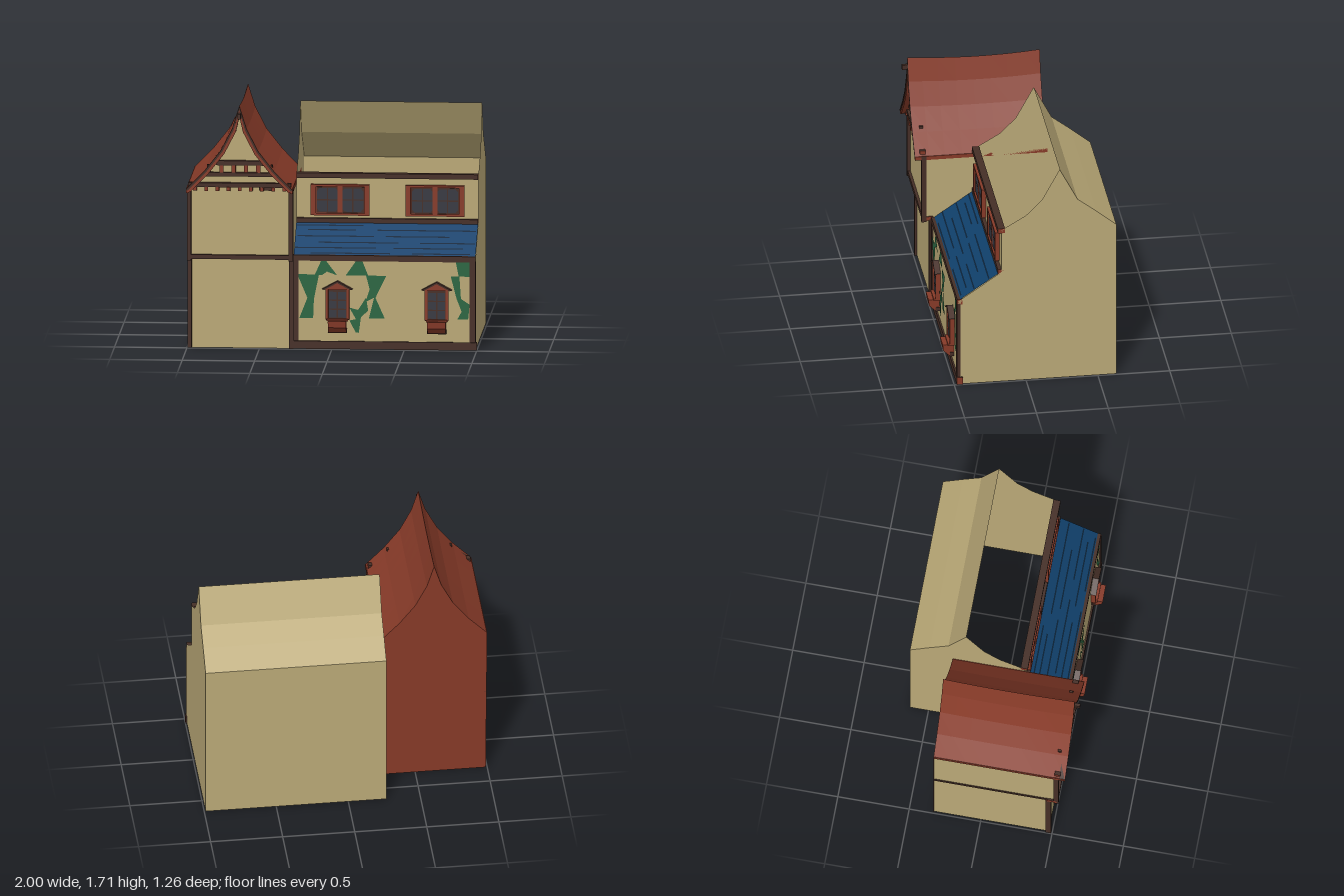
import * as THREE from 'three';

const mat = (name, color) => {
  const m = new THREE.MeshStandardMaterial({ color, side: THREE.DoubleSide, flatShading: true });
  m.name = name;
  return m;
};

export function createModel() {
  const plaster = mat('plaster', 0xb9a876), tile = mat('redTile', 0x863a28), timber = mat('darkTimber', 0x452e26);
  const blue = mat('blueRoof', 0x10406b), blueDark = mat('blueGap', 0x0a2238);
  const glass = mat('glass', 0x363840), ivy = mat('ivy', 0x2a6540);
  const model = new THREE.Group();

  const add = (name, geo, m, parent = model) => {
    const mesh = new THREE.Mesh(geo, m);
    mesh.name = name;
    parent.add(mesh);
    return mesh;
  };
  const box = (name, m, x0, x1, y0, y1, z0, z1, parent) => {
    const g = new THREE.BoxGeometry(x1 - x0, y1 - y0, z1 - z0);
    g.translate((x0 + x1) / 2, (y0 + y1) / 2, (z0 + z1) / 2);
    return add(name, g, m, parent);
  };
  // Timbers show redder cut ends
  const beam = (name, ...r) => box(name, [tile, tile, timber, timber, timber, timber], ...r);
  const post = (name, ...r) => box(name, [timber, timber, tile, tile, timber, timber], ...r);
  const shape = pts => new THREE.Shape(pts.map(p => new THREE.Vector2(p[0], p[1])));
  const flat = (name, m, pts, z, parent) => add(name, new THREE.ShapeGeometry(shape(pts)).translate(0, 0, z), m, parent);
  const slab = (name, m, pts, z0, z1, parent) =>
    add(name, new THREE.ExtrudeGeometry(shape(pts), { depth: z1 - z0, bevelEnabled: false }).translate(0, 0, z0), m, parent);
  // Wall in the z-y plane at a given x
  const sideWall = (name, m, pts, x) =>
    add(name, new THREE.ShapeGeometry(shape(pts)).rotateY(-Math.PI / 2).translate(x, 0, 0), m);
  // Skin over rows of points
  const loft = (name, m, rows) => {
    const n = rows[0].length, index = [];
    for (let i = 0; i < rows.length - 1; i++)
      for (let j = 0; j < n - 1; j++) {
        const a = i * n + j, b = a + n;
        index.push(a, b, a + 1, b, b + 1, a + 1);
      }
    let g = new THREE.BufferGeometry();
    g.setAttribute('position', new THREE.Float32BufferAttribute(rows.flat(2), 3));
    g.setIndex(index);
    g = g.toNonIndexed();
    g.computeVertexNormals();
    return add(name, g, m);
  };
  // Strip running along x through z-y points
  const strip = (name, m, pts, x0, x1) =>
    loft(name, m, [x0, x1].map(x => pts.map(([z, y]) => [x, y, z])));

  // Main house shell, with its front roof slope open
  const L = -0.265, R = 0.99;
  const backRoof = [[-0.235, 1.61], [-0.36, 1.37], [-0.49, 1.27], [-0.63, 1.155]];
  const gable = [[0.47, 0], [0.47, 0.64], [0.17, 0.845], [0.17, 1.17], [0, 1.27], [-0.11, 1.38], ...backRoof, [-0.63, 0]];
  sideWall('leftHouseGable', plaster, gable, L);
  sideWall('rightHouseGable', plaster, gable, R);
  strip('houseBackRoof', plaster, backRoof, L, R);
  strip('houseBackWall', plaster, [[-0.63, 1.155], [-0.63, 0]], L, R);
  strip('lowerFrontWall', plaster, [[0.47, 0], [0.47, 0.64]], L, R);
  strip('upperFrontWall', plaster, [[0.17, 0.845], [0.17, 1.17]], L, R);

  // Blue lean-to roof with gaps between the courses
  strip('leanToRoof', blue, [[0.47, 0.645], [0.17, 0.85]], L, R);
  const gaps = [[0.66, -0.15, 0.4], [0.66, 0.55, 0.95], [0.69, -0.26, 0.3], [0.69, 0.42, 0.9], [0.72, -0.1, 0.45],
    [0.72, 0.6, 0.98], [0.755, -0.25, 0.28], [0.755, 0.36, 0.8], [0.79, -0.18, 0.15], [0.79, 0.3, 0.98], [0.815, -0.26, 0.2]];
  for (const [y, x0, x1] of gaps) {
    const z = 0.47 - (y - 0.645) * 0.3 / 0.205 + 0.003;
    strip('roofGap', blueDark, [[z, y + 0.002], [z - 0.009, y + 0.008]], x0, x1);
  }

  // House timbers
  beam('topBeam', L, R, 1.145, 1.18, 0.145, 0.195);
  beam('middleBeam', L, R, 0.825, 0.865, 0.145, 0.195);
  beam('lowerBeam', L, R, 0.615, 0.655, 0.44, 0.478);
  beam('groundBeam', L, 1, 0, 0.055, 0.44, 0.482);
  post('leftHousePost', L, -0.23, 0.05, 0.62, 0.455, 0.48);
  post('rightHousePost', 0.948, 0.992, 0.05, 0.62, 0.455, 0.48);

  // Upper windows: two sashes of four panes with cut outer corners
  for (const cx of [0.0375, 0.6925]) {
    const w = new THREE.Group();
    w.name = 'upperWindow';
    w.position.set(cx, 0.9925, 0);
    model.add(w);
    box('windowFrame', tile, -0.2025, 0.2025, -0.1075, 0.1075, 0.165, 0.186, w);
    for (const y of [-0.1, 0.1]) box('frameRail', tile, -0.2025, 0.2025, y - 0.0075, y + 0.0075, 0.186, 0.2, w);
    for (const x of [-0.185, 0, 0.185]) box('frameStile', tile, x - 0.0175, x + 0.0175, -0.1, 0.1, 0.186, x ? 0.2 : 0.193, w);
    for (const sx of [-1, 1]) {
      const c = sx * 0.087;
      box('sashBacking', timber, c - 0.077, c + 0.077, -0.09, 0.09, 0.186, 0.188, w);
      for (const px of [-1, 1]) for (const py of [-1, 1]) {
        const pts = [[0.004, 0.004], [0.073, 0.004], [0.073, 0.06], [0.055, 0.082], [0.004, 0.082]];
        flat('pane', glass, pts.map(([x, y]) => [c + px * x, py * y]), 0.191, w);
      }
    }
  }

  // Lower windows with pediment and flower box
  for (const cx of [0.0385, 0.724]) {
    const w = new THREE.Group();
    w.name = 'lowerWindow';
    w.position.x = cx;
    model.add(w);
    box('windowFrame', tile, -0.08, 0.08, 0.205, 0.425, 0.465, 0.49, w);
    for (const s of [-0.0725, 0.0725]) box('frameStile', tile, s - 0.0095, s + 0.0095, 0.21, 0.42, 0.49, 0.502, w);
    box('paneBacking', timber, -0.063, 0.063, 0.215, 0.415, 0.488, 0.492, w);
    for (const s of [-1, 1]) for (let r = 0; r < 3; r++) {
      const y = 0.222 + r * 0.063, x = s * 0.032;
      flat('pane', glass, [[x - 0.027, y], [x + 0.027, y], [x + 0.027, y + 0.055], [x - 0.027, y + 0.055]], 0.495, w);
    }
    slab('pediment', tile, [[-0.09, 0.42], [0.09, 0.42], [0, 0.465]], 0.465, 0.505, w);
    for (const s of [-1, 1])
      slab('pedimentEdge', timber, [[s * 0.105, 0.422], [0, 0.479], [0, 0.466], [s * 0.09, 0.418]], 0.465, 0.512, w);
    box('sill', tile, -0.073, 0.073, 0.2, 0.215, 0.465, 0.515, w);
    const side = [[0.47, 0.205], [0.55, 0.205], [0.545, 0.16], [0.505, 0.12], [0.47, 0.12]];
    const g = new THREE.ExtrudeGeometry(shape(side), { depth: 0.126, bevelEnabled: false });
    add('flowerBox', g.rotateY(-Math.PI / 2).translate(0.063, 0, 0), tile, w);
    box('flowerBoxFoot', timber, -0.066, 0.066, 0.115, 0.145, 0.47, 0.5, w);
  }

  // Ivy leaves climbing the lower wall
  const leaves = [
    [[-0.24, 0.52], [-0.09, 0.52], [-0.125, 0.345], [-0.13, 0.215], [-0.225, 0.215], [-0.17, 0.355]],
    [[-0.12, 0.515], [-0.075, 0.615], [-0.04, 0.615], [0.035, 0.515], [-0.035, 0.54], [-0.07, 0.515]],
    [[0.095, 0.515], [0.165, 0.615], [0.21, 0.615], [0.25, 0.515]],
    [[0.235, 0.515], [0.375, 0.515], [0.3, 0.36], [0.365, 0.215], [0.255, 0.215], [0.29, 0.36], [0.23, 0.33], [0.26, 0.42]],
    [[0.12, 0.29], [0.18, 0.275], [0.235, 0.36], [0.25, 0.27], [0.2, 0.225], [0.185, 0.115], [0.165, 0.115], [0.12, 0.2], [0.165, 0.21]],
    [[0.855, 0.615], [0.95, 0.615], [0.95, 0.515], [0.875, 0.515]],
    [[0.82, 0.515], [0.88, 0.515], [0.89, 0.36], [0.95, 0.32], [0.94, 0.215], [0.865, 0.215], [0.895, 0.27], [0.86, 0.36]],
  ];
  for (const l of leaves) flat('ivyLeaf', ivy, l, 0.476);

  // Tower walls: the upper storey juts forward and the back is red
  const cx = -0.6325, TL = -0.985, TR = -0.272;
  const half = [[0.3675, 1.125], [0.24, 1.255], [0.13, 1.395], [0.05, 1.55], [0, 1.71]];
  const profile = [...half.map(([x, y]) => [cx - x, y]), ...half.slice(0, 4).reverse().map(([x, y]) => [cx + x, y])];
  const inner = profile.map(([x, y]) => [cx + (x - cx) * 0.96, y - 0.012]);
  flat('towerUpperFront', plaster, [[TL, 0.635], ...inner, [TR, 0.635]], 0.52);
  flat('towerLowerFront', plaster, [[TL, 0], [TL, 0.64], [TR, 0.64], [TR, 0]], 0.475);
  const towerSide = [[-0.328, 0], [-0.328, 1.125], [0.52, 1.125], [0.52, 0.635], [0.475, 0.635], [0.475, 0]];
  sideWall('towerLeftWall', plaster, towerSide, TL);
  sideWall('towerRightWall', plaster, towerSide, TR);
  flat('towerBackWall', tile, [[-0.99, 0], ...profile, [-0.267, 0]], -0.33);

  // Tower roof: curved slopes with a sagging ridge
  const sag = (y, z) => 0.02 * Math.max(0, (y - 1.125) / 0.585) * (Math.pow((z - 0.1) / 0.43, 2) - 1);
  const stations = [-0.33, -0.22, -0.1, 0.02, 0.14, 0.26, 0.38, 0.49, 0.59];
  loft('towerRoof', tile, stations.map(z => profile.map(([x, y]) => [x, y + Math.min(0.003, sag(y, z)), z])));
  for (const s of [-1, 1]) {
    const e = cx + s * 0.358;
    box('towerEave', tile, e - 0.0095, e + 0.0095, 1.1, 1.128, -0.33, 0.59);
  }

  // Rake boards, dark outside and red inside
  const offset = d => profile.map(([x, y], i) => [x - Math.sign(i - 4) * d * 0.75, y - (i === 4 ? 2.2 * d : 0.65 * d)]);
  slab('outerRake', timber, [...profile, ...offset(0.014).reverse()], 0.55, 0.592);
  slab('innerRake', tile, [...offset(0.014), ...offset(0.034).reverse()], 0.54, 0.585);
  box('finial', timber, cx - 0.011, cx + 0.011, 1.625, 1.66, 0.58, 0.63);

  // Gable timbers, studs and corbels
  beam('gableTopBeam', cx - 0.165, cx + 0.165, 1.288, 1.32, 0.515, 0.55);
  beam('gableMiddleBeam', cx - 0.235, cx + 0.235, 1.21, 1.237, 0.515, 0.55);
  beam('gableLowBeam', cx - 0.355, cx + 0.355, 1.135, 1.165, 0.515, 0.555);
  for (let i = 0; i < 6; i++) {
    const x = cx + (i - 2.5) * 0.085;
    box('gableStud', i % 5 ? tile : timber, x - 0.014, x + 0.014, 1.235, 1.29, 0.515, 0.54);
  }
  for (let i = 0; i < 9; i++) {
    const x = cx + (i - 4) * 0.077;
    box('corbel', tile, x - 0.012, x + 0.012, 1.11, 1.136, 0.515, 0.56);
  }
  box('signBracket', timber, -0.5, -0.41, 1.112, 1.136, 0.515, 0.54);

  // Tower frame
  for (const [x0, x1] of [[-0.998, -0.968], [-0.295, -0.264]]) {
    post('towerLowerPost', x0, x1, 0, 0.64, 0.455, 0.492);
    post('towerUpperPost', x0, x1, 0.62, 1.13, 0.51, 0.545);
  }
  beam('towerFloorBeam', -0.998, -0.264, 0.63, 0.66, 0.465, 0.54);
  box('towerSideBeam', timber, -0.99, -0.98, 0.63, 0.655, -0.33, 0.52);
  return model;
}
